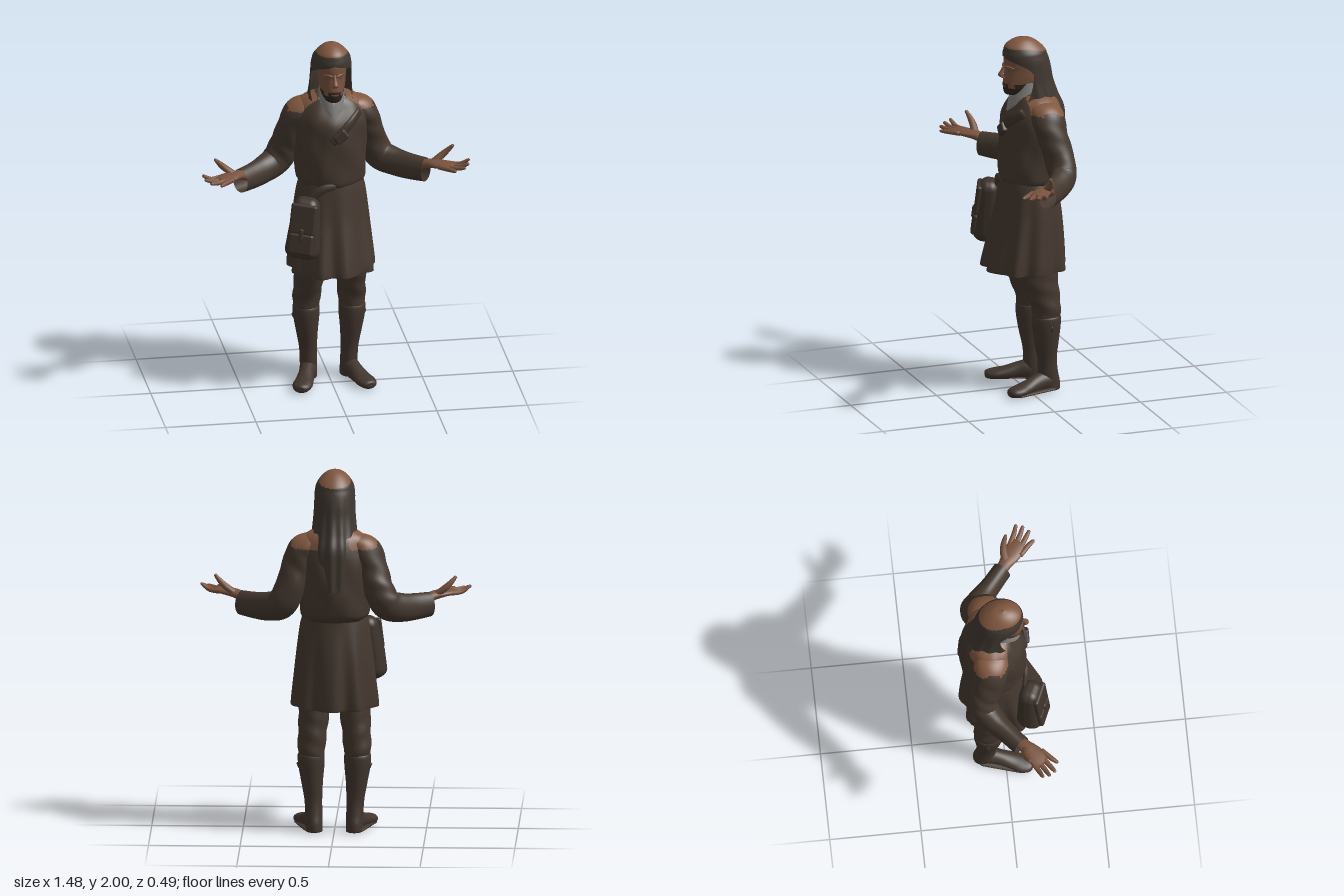
import * as THREE from 'three';
import { mergeVertices } from 'three/addons/utils/BufferGeometryUtils.js';
import { RoundedBoxGeometry } from 'three/addons/geometries/RoundedBoxGeometry.js';

const material = (name, color) => {
  const m = new THREE.MeshStandardMaterial({ color, side: THREE.DoubleSide });
  m.name = name;
  return m;
};

// Catmull-Rom subdivision of every component of a list of sections
function refine(rings, n) {
  const out = [], last = rings.length - 1;
  const at = (i) => rings[Math.min(last, Math.max(0, i))];
  for (let i = 0; i < last; i++) {
    const [a, b, c, d] = [at(i - 1), at(i), at(i + 1), at(i + 2)];
    for (let k = 0; k < n; k++) {
      const t = k / n;
      out.push(b.map((v, q) => {
        const cubic = 3 * (v - c[q]) + d[q] - a[q];
        const square = 2 * a[q] - 5 * v + 4 * c[q] - d[q];
        return v + 0.5 * t * (c[q] - a[q] + t * (square + t * cubic));
      }));
    }
  }
  out.push(rings[last].slice());
  return out;
}

// Skin over elliptical sections [x, y, z, rx, rz, frontGap]. Sections lie flat,
// or square to the path when sweep is set. fold scales the radius, pick chooses the material.
function skin(sections, { sweep = false, sub = 4, seg = 40, fold = () => 1, pick = () => 0, caps = false } = {}) {
  const rings = refine(sections.map((s) => [...s, ...(s.length < 6 ? [0] : [])]), sub);
  if (caps) {
    const end = (r) => [r[0], r[1], r[2], 0.0005, 0.0005, 0];
    rings.unshift(end(rings[0]));
    rings.push(end(rings[rings.length - 1]));
  }
  const pos = [], S = new THREE.Vector3(1, 0, 0), U = new THREE.Vector3(0, 0, 1), T = new THREE.Vector3();
  const up = new THREE.Vector3(0, 1, 0), n = rings.length, row = seg + 1;
  rings.forEach((r, i) => {
    if (sweep) {
      const p = rings[Math.max(0, i - 2)], q = rings[Math.min(n - 1, i + 2)];
      T.set(q[0] - p[0], q[1] - p[1], q[2] - p[2]).normalize();
      S.crossVectors(T, up).normalize();
      U.crossVectors(T, S);
    }
    const gap = Math.max(0, r[5]);
    for (let j = 0; j <= seg; j++) {
      const a = gap + (j / seg) * 2 * (Math.PI - gap), k = fold(a, r[1]);
      const u = k * Math.max(0, r[3]) * Math.sin(a), v = k * Math.max(0, r[4]) * Math.cos(a);
      pos.push(r[0] + S.x * u + U.x * v, r[1] + S.y * u + U.y * v, r[2] + S.z * u + U.z * v);
    }
  });
  const lists = [[], [], []];
  for (let i = 0; i < n - 1; i++) {
    for (let j = 0; j < seg; j++) {
      const a = i * row + j, b = a + 1, c = a + row, d = c + 1;
      const mid = (q) => (pos[3 * a + q] + pos[3 * d + q]) / 2;
      lists[pick(mid(0), mid(1), mid(2))].push(a, c, d, a, d, b);
    }
  }
  let g = new THREE.BufferGeometry();
  g.setAttribute('position', new THREE.Float32BufferAttribute(pos, 3));
  g.setIndex(lists.flat());
  let start = 0;
  lists.forEach((l, i) => { if (l.length) g.addGroup(start, l.length, i); start += l.length; });
  g = mergeVertices(g, 1e-5);
  g.computeVertexNormals();
  return g;
}

export function createModel() {
  const model = new THREE.Group();
  const cloth = material('tunic cloth', 0x44382f), scarfCloth = material('scarf cloth', 0x403730);
  const leather = material('boot leather', 0x42362e), bagLeather = material('bag leather', 0x3f342c);
  const tan = material('tan cloth', 0x80573f), flesh = material('skin', 0x78523e);
  const linen = material('grey linen', 0x85837f), hair = material('dark hair', 0x30261f);
  const add = (name, geometry, mat, parent = model) => {
    const m = new THREE.Mesh(geometry, mat);
    m.name = name;
    parent.add(m);
    return m;
  };
  // Shoulder patch area, reaching lower towards the back
  const onShoulder = (x, y, z) => {
    const ax = Math.abs(x);
    return ax > 0.08 && ax < 0.235 && z > -0.192 && z < 0.012 && y > 1.602 + Math.min(0, z + 0.1) * 0.2 ? 1 : 0;
  };

  // Blousing tunic with shoulder patches and open neck
  add('tunic', skin([
    [0, 1.695, -0.06, 0.06, 0.06], [0, 1.672, -0.068, 0.13, 0.1], [0, 1.63, -0.068, 0.18, 0.13],
    [0, 1.55, -0.055, 0.2, 0.165], [0, 1.45, -0.055, 0.2, 0.178], [0, 1.35, -0.055, 0.197, 0.182],
    [0, 1.25, -0.052, 0.192, 0.18], [0, 1.205, -0.048, 0.186, 0.172], [0, 1.18, -0.042, 0.165, 0.152]],
  { sub: 10, seg: 120, fold: (a, y) => 1 + 0.015 * Math.sin(5 * a + 22 * y) + 0.009 * Math.sin(11 * a - 15 * y),
    pick: (x, y, z) => (z > 0 && Math.abs(x) < (y - 1.585) * 0.8 ? 2 : onShoulder(x, y, z)) }), [cloth, tan, linen]);

  // Pleated skirt, deeper folds towards the hem
  add('skirt', skin([
    [0, 1.22, -0.035, 0.165, 0.148], [0, 1.15, -0.033, 0.188, 0.158], [0, 1.0, -0.032, 0.206, 0.182],
    [0, 0.85, -0.022, 0.22, 0.205], [0, 0.705, -0.01, 0.232, 0.222], [0, 0.7, -0.01, 0.222, 0.212],
    [0, 0.76, -0.01, 0.18, 0.17]],
  { seg: 120, fold: (a, y) => 1 + Math.max(0, 1.18 - y) * (0.13 * Math.sin(9 * a - 0.86) + 0.05 * Math.sin(14 * a)) }), cloth);
  add('sashEnd', skin([[0.0, 1.2, 0.122, 0.012, 0.018], [-0.07, 1.185, 0.118, 0.015, 0.024],
    [-0.125, 1.13, 0.105, 0.01, 0.022]], { sweep: true, seg: 12, caps: true }), cloth);

  // Chest strap with small pouch
  add('chestStrap', skin([[0.145, 1.605, 0.045, 0.012, 0.028], [0.09, 1.56, 0.1, 0.014, 0.028],
    [0.02, 1.495, 0.122, 0.014, 0.028], [-0.02, 1.46, 0.122, 0.01, 0.025]], { sweep: true, seg: 12, caps: true }), bagLeather);
  const pouch = add('chestPouch', new RoundedBoxGeometry(0.08, 0.06, 0.036, 3, 0.012), bagLeather);
  pouch.position.set(0.03, 1.495, 0.128);
  pouch.rotation.z = 0.65;

  // Satchel on the hip: wider and fuller towards the bottom
  const satchel = new THREE.Group();
  satchel.name = 'satchel';
  satchel.position.set(-0.172, 0.978, 0.138);
  satchel.rotation.set(-0.06, -0.4, -0.1);
  const body = new RoundedBoxGeometry(0.168, 0.35, 0.13, 5, 0.055);
  const bp = body.attributes.position;
  for (let i = 0; i < bp.count; i++) {
    const k = 1 - 1.1 * bp.getY(i);
    bp.setXYZ(i, bp.getX(i) * k, bp.getY(i), bp.getZ(i) * k);
  }
  add('satchelBody', body, bagLeather, satchel);
  const part = (name, w, h, d, x, y, z) => {
    const m = add(name, new RoundedBoxGeometry(w, h, d, 3, d * 0.45), bagLeather, satchel);
    m.position.set(x, y, z);
    m.rotation.x = -0.07;
  };
  part('satchelFlap', 0.145, 0.17, 0.03, 0, 0.065, 0.056);
  part('satchelPocket', 0.14, 0.12, 0.035, 0, -0.075, 0.066);
  part('satchelBuckle', 0.025, 0.07, 0.02, 0, -0.02, 0.076);
  model.add(satchel);

  // Head with beard, neck, collar
  add('head', skin([
    [0, 1.985, 0, 0.02, 0.02], [0, 1.95, -0.005, 0.07, 0.085], [0, 1.9, -0.01, 0.085, 0.112],
    [0, 1.85, -0.008, 0.08, 0.115], [0, 1.825, -0.008, 0.078, 0.109], [0, 1.78, -0.006, 0.074, 0.113],
    [0, 1.745, 0, 0.068, 0.112], [0, 1.71, 0.015, 0.058, 0.095], [0, 1.685, 0.045, 0.04, 0.055], [0, 1.675, 0.06, 0.01, 0.012]],
  { sub: 8, seg: 80, pick: (x, y, z) => {
    const ax = Math.abs(x), mouth = Math.hypot(ax / 0.02, (y - 1.732) / 0.006) < 1;
    return !mouth && z > 0 && (y < 1.722 || (ax < 0.034 && y < 1.75 - ax * 0.2) || (ax > 0.054 && y < 1.745)) ? 1 : 0;
  } }), [flesh, hair]);
  add('neck', new THREE.CylinderGeometry(0.052, 0.06, 0.2, 24), flesh).position.set(0, 1.66, -0.015);
  add('collar', skin([[0, 1.75, -0.012, 0.07, 0.06, 1.15], [0, 1.71, -0.01, 0.071, 0.07, 0.6],
    [0, 1.675, -0.008, 0.071, 0.08, 0.15], [0, 1.655, -0.007, 0.07, 0.084, 0], [0, 1.62, -0.006, 0.066, 0.091, 0],
    [0, 1.575, -0.005, 0.04, 0.1, 0]]), linen);
  add('nose', skin([[0, 1.85, 0.102, 0.008, 0.008], [0, 1.82, 0.115, 0.011, 0.012], [0, 1.793, 0.127, 0.017, 0.015],
    [0, 1.776, 0.108, 0.013, 0.01]], { seg: 16, caps: true }), flesh);

  // Headscarf: tan crown, dark brow band, drape falling to the back
  add('headscarf', skin([
    [0, 2.0, 0, 0.004, 0.004], [0, 1.988, 0, 0.042, 0.052], [0, 1.96, 0, 0.076, 0.094], [0, 1.925, -0.01, 0.1, 0.117],
    [0, 1.9, -0.013, 0.107, 0.124], [0, 1.87, -0.02, 0.111, 0.128, 0.9], [0, 1.82, -0.03, 0.112, 0.13, 1.48],
    [0, 1.75, -0.04, 0.115, 0.132, 1.42], [0, 1.67, -0.055, 0.122, 0.143, 1.15], [0, 1.59, -0.06, 0.133, 0.172, 0.9],
    [0, 1.5, -0.06, 0.135, 0.18, 1.6], [0, 1.36, -0.06, 0.12, 0.185, 2.3]],
  { sub: 6, seg: 90, fold: (a, y) => 1 + 0.025 * THREE.MathUtils.clamp((1.88 - y) * 5, 0, 1) * Math.sin(13 * a),
    pick: (x, y, z) => (y > 1.95 + Math.min(0, z) * 0.25 ? 1 : 0) }), [scarfCloth, tan]);

  for (const s of [1, -1]) {
    const side = new THREE.Group();
    side.name = s > 0 ? 'leftLimbs' : 'rightLimbs';
    model.add(side);
    const flip = (list) => list.map(([x, ...rest]) => [x * s, ...rest]);
    const limb = (name, list, mat, options) => add(name, skin(flip(list), options), mat, side);

    // Eye and brow ridge
    const eye = add('eye', new THREE.SphereGeometry(0.01, 12, 8), hair, side);
    eye.scale.set(1, 0.3, 0.35);
    eye.position.set(0.032 * s, 1.822, 0.09);
    limb('brow', [[0.01, 1.84, 0.106, 0.008, 0.006], [0.035, 1.845, 0.095, 0.008, 0.007], [0.058, 1.838, 0.068, 0.006, 0.004]],
      flesh, { sweep: true, seg: 8, caps: true });

    // Sleeve, open at the wrist
    limb('sleeve', [
      [0.125, 1.612, -0.078, 0.088, 0.056], [0.175, 1.568, -0.084, 0.098, 0.078], [0.208, 1.47, -0.1, 0.09, 0.08],
      [0.242, 1.36, -0.125, 0.082, 0.083], [0.29, 1.275, -0.125, 0.076, 0.084], [0.36, 1.247, -0.08, 0.064, 0.079],
      [0.43, 1.238, -0.02, 0.055, 0.074], [0.512, 1.238, 0.048, 0.052, 0.068],
    ], [cloth, tan], { sweep: true, sub: 10, seg: 80, pick: onShoulder,
      fold: (a, y) => 1 + 0.02 * Math.sin(55 * y + 3 * a) });

    // Upturned hand with spread fingers
    limb('palm', [[0.46, 1.25, 0.01, 0.032, 0.028], [0.525, 1.28, 0.062, 0.036, 0.025], [0.575, 1.288, 0.102, 0.05, 0.02],
      [0.615, 1.29, 0.132, 0.05, 0.017], [0.645, 1.292, 0.157, 0.034, 0.011]], flesh, { sweep: true, seg: 20, caps: true });
    const fingers = [
      [0.632, 0.104, 0.735, 1.322, 0.148], [0.625, 0.132, 0.728, 1.312, 0.185],
      [0.61, 0.156, 0.703, 1.302, 0.216], [0.588, 0.168, 0.65, 1.294, 0.234]];
    for (const [x, z, tx, ty, tz] of fingers) {
      limb('finger', [[x - 0.02, 1.29, z - 0.015, 0.014, 0.013], [(x + tx) / 2, 1.291, (z + tz) / 2, 0.014, 0.013],
        [tx - 0.006, ty - 0.003, tz - 0.004, 0.01, 0.009], [tx, ty, tz, 0.005, 0.005]], flesh, { sweep: true, seg: 10, caps: true });
    }
    limb('thumb', [[0.545, 1.285, 0.07, 0.024, 0.018], [0.595, 1.322, 0.064, 0.02, 0.019], [0.63, 1.355, 0.07, 0.015, 0.015],
      [0.658, 1.387, 0.083, 0.008, 0.008]], flesh, { sweep: true, seg: 12, caps: true });

    // Trouser leg, boot and foot
    limb('trouserLeg', [[0.1, 0.8, -0.035, 0.095, 0.115], [0.112, 0.65, -0.052, 0.085, 0.108], [0.12, 0.55, -0.075, 0.078, 0.092],
      [0.125, 0.47, -0.092, 0.076, 0.08], [0.125, 0.42, -0.092, 0.07, 0.074], [0.125, 0.37, -0.092, 0.055, 0.06]],
    cloth, { fold: (a, y) => 1 + 0.03 * Math.sin(60 * y + 2 * a * s) });
    limb('bootShaft', [[0.126, 0.435, -0.092, 0.062, 0.066], [0.127, 0.425, -0.092, 0.073, 0.079], [0.126, 0.37, -0.092, 0.072, 0.079],
      [0.122, 0.28, -0.094, 0.06, 0.068], [0.115, 0.18, -0.1, 0.049, 0.054], [0.112, 0.1, -0.106, 0.047, 0.057],
      [0.11, 0.05, -0.113, 0.046, 0.061], [0.11, 0.004, -0.113, 0.046, 0.061]], leather, { caps: true });
    limb('bootStrap', [[0.19, 0.37, -0.1, 0.008, 0.018], [0.202, 0.365, -0.1, 0.006, 0.014]], leather, { sweep: true, seg: 10, caps: true });
    limb('foot', [[0.112, 0.05, -0.14, 0.038, 0.04], [0.116, 0.055, -0.09, 0.047, 0.055],
      [0.134, 0.048, -0.03, 0.043, 0.048], [0.156, 0.036, 0.04, 0.05, 0.036], [0.176, 0.03, 0.09, 0.055, 0.03],
      [0.19, 0.026, 0.13, 0.042, 0.025], [0.195, 0.025, 0.146, 0.02, 0.016]],
    leather, { sweep: true, seg: 28, caps: true });
    const sole = add('sole', new THREE.CapsuleGeometry(0.046, 0.2, 6, 20), leather, side);
    sole.scale.set(1, 1, 0.25);
    sole.rotation.set(Math.PI / 2, 0, -0.29 * s);
    sole.position.set(0.152 * s, 0.0115, -0.012);
  }
  return model;
}
